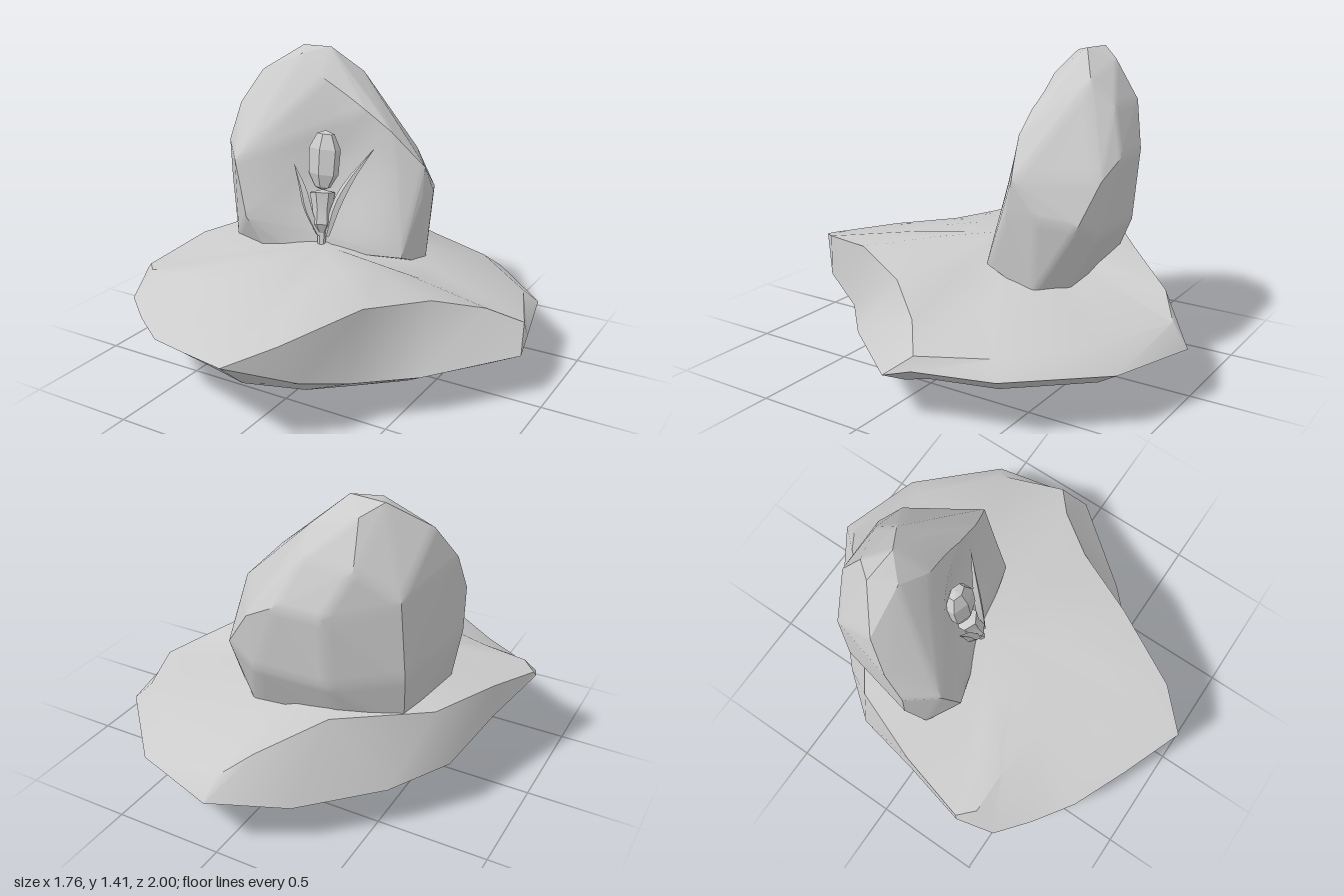
import * as THREE from 'three';
import { toCreasedNormals } from 'three/addons/utils/BufferGeometryUtils.js';
import { ConvexGeometry } from 'three/addons/geometries/ConvexGeometry.js';

const V = (p) => new THREE.Vector3(...p);
const material = new THREE.MeshStandardMaterial({ color: 0xcccccc });
const thin = new THREE.MeshStandardMaterial({ color: 0xcccccc, side: THREE.DoubleSide });

function add(group, name, geometry, mat = material) {
  const mesh = new THREE.Mesh(geometry, mat);
  mesh.name = name;
  group.add(mesh);
  return mesh;
}

// Joins closed rings of equal length, top to bottom
function skin(rings) {
  const n = rings[0].length;
  const index = [];
  for (let r = 0; r < rings.length - 1; r++) {
    for (let i = 0; i < n; i++) {
      const a = r * n + i, b = r * n + (i + 1) % n;
      index.push(a, b, b + n, a, b + n, a + n);
    }
  }
  const geometry = new THREE.BufferGeometry().setFromPoints(rings.flat());
  geometry.setIndex(index);
  return geometry;
}

// Broad lens-shaped slab: sharp rim, chamfered upper edge, shallow dome below
function slabGeometry() {
  const rim = [
    [0.05, 0.235, -1], [0.45, 0.24, -0.87], [0.78, 0.25, -0.52], [0.86, 0.24, -0.17],
    [0.88, 0.2, -0.04], [0.58, 0.19, 0.34], [0.36, 0.2, 0.55], [0.25, 0.28, 0.78],
    [0.03, 0.39, 1], [-0.25, 0.335, 0.885], [-0.5, 0.28, 0.77], [-0.68, 0.29, 0.65],
    [-0.83, 0.31, 0.53], [-0.88, 0.39, 0.36],
    [-0.8, 0.33, 0.04], [-0.73, 0.25, -0.29], [-0.55, 0.2, -0.52], [-0.25, 0.19, -0.81],
  ].map(V);
  const edge = [
    [0.03, 0.33, -0.92], [0.39, 0.325, -0.77], [0.72, 0.315, -0.47], [0.84, 0.3, -0.17],
    [0.7, 0.38, -0.06], [0.53, 0.46, 0.15], [0.37, 0.51, 0.47], [0.19, 0.45, 0.83],
    [0.02, 0.4, 0.97], [-0.17, 0.445, 0.7], [-0.37, 0.46, 0.47], [-0.6, 0.445, 0.42],
    [-0.8, 0.42, 0.42], [-0.87, 0.41, 0.35],
    [-0.79, 0.485, 0.03], [-0.66, 0.505, -0.31], [-0.3, 0.51, -0.58], [-0.09, 0.42, -0.83],
  ].map(V);
  const top = V([-0.1, 0.54, 0]);
  const base = V([-0.05, 0, -0.08]);
  const inner = edge.map((p) => p.clone().lerp(top, 0.5).setY(0.3 + p.y * 0.46));
  const dome = [[0.15, 0.63], [0.38, 0.29], [0.66, 0.07]].map(
    ([t, k]) => rim.map((p) => p.clone().lerp(base, t).setY(p.y * k)));
  const fill = (p) => rim.map(() => p.clone());
  return toCreasedNormals(skin([fill(top), inner, edge, rim, ...dome, fill(base)]), 0.6);
}

// Splits every triangle of a non-indexed geometry into four
function subdivide(geometry) {
  const position = geometry.getAttribute('position');
  const out = [];
  for (let i = 0; i < position.count; i += 3) {
    const [a, b, c] = [0, 1, 2].map((k) => new THREE.Vector3().fromBufferAttribute(position, i + k));
    const [ab, bc, ca] = [[a, b], [b, c], [c, a]].map(([p, q]) => p.clone().add(q).multiplyScalar(0.5));
    out.push(a, ab, ca, ab, b, bc, ca, bc, c, ab, bc, ca);
  }
  return new THREE.BufferGeometry().setFromPoints(out);
}

// Upright faceted boulder with a broad leaning front face, hollowed behind the sprout
function boulderGeometry() {
  const points = [
    // front face
    [-0.22, 1.29, -0.17], [0, 1.16, -0.17], [0.13, 1.07, -0.2], [0.28, 0.91, -0.27],
    [0.28, 0.75, -0.24], [0.24, 0.5, -0.12], [-0.28, 0.5, 0.06], [-0.47, 0.65, 0.12],
    [-0.55, 0.91, 0.08], [-0.4, 0.5, 0.08],
    // crown
    [-0.26, 1.41, -0.33], [-0.42, 1.405, -0.34], [-0.58, 1.29, -0.22], [-0.35, 1.36, -0.43],
    [-0.13, 1.29, -0.42], [-0.36, 1.385, -0.23],
    // left side
    [-0.645, 1.14, -0.12], [-0.66, 0.97, -0.04], [-0.66, 0.77, -0.05], [-0.6, 0.5, 0],
    [-0.55, 1.05, -0.45], [-0.57, 0.7, -0.43], [-0.54, 0.4, -0.36],
    // back and right side
    [-0.38, 1.18, -0.53], [-0.15, 1.18, -0.53], [-0.28, 0.98, -0.6], [-0.06, 0.98, -0.61],
    [0.08, 0.9, -0.59], [0.2, 0.73, -0.55], [0.27, 0.76, -0.39], [-0.28, 0.65, -0.57],
    [0.06, 0.65, -0.58], [-0.3, 0.4, -0.46], [0.13, 0.4, -0.47], [0.25, 0.4, -0.36],
  ].map(V);
  const geometry = subdivide(subdivide(subdivide(new ConvexGeometry(points))));
  const position = geometry.getAttribute('position');
  for (let i = 0; i < position.count; i++) {
    const z = position.getZ(i);
    const dx = (position.getX(i) + 0.13) / 0.24, dy = (position.getY(i) - 0.86) / 0.36;
    const fade = THREE.MathUtils.smoothstep(z, -0.4, -0.12);
    position.setZ(i, z - 0.095 * fade * Math.exp(-dx * dx - dy * dy));
  }
  return toCreasedNormals(geometry, 0.5);
}

function lathe(profile, sides) {
  const points = profile.map(([r, y]) => new THREE.Vector2(r, y));
  return toCreasedNormals(new THREE.LatheGeometry(points, sides), 0.4);
}

// Tapering folded leaf that curls outward to a point
function leafGeometry(path, width) {
  const curve = new THREE.CatmullRomCurve3(path.map(V));
  const steps = 7, points = [], index = [];
  for (let i = 0; i <= steps; i++) {
    const t = i / steps, p = curve.getPoint(t);
    const w = width * Math.sin(Math.PI * (0.15 + 0.85 * t));
    points.push(p.clone().add(V([-w, 0, 0])), p.clone().add(V([0, 0, w * 0.7])), p.clone().add(V([w, 0, 0])));
    if (i < steps) {
      for (const k of [0, 1]) {
        const a = i * 3 + k;
        index.push(a, a + 1, a + 4, a, a + 4, a + 3);
      }
    }
  }
  const geometry = new THREE.BufferGeometry().setFromPoints(points);
  geometry.setIndex(index);
  return toCreasedNormals(geometry, 0.5);
}

export function createModel() {
  const model = new THREE.Group();
  model.name = 'rockWithSprout';
  add(model, 'slab', slabGeometry());
  add(model, 'boulder', boulderGeometry());

  // Small sprout against the front of the boulder
  const sprout = new THREE.Group();
  sprout.name = 'sprout';
  model.add(sprout);
  const stem = add(sprout, 'stem', lathe(
    [[0.018, 0], [0.02, 0.08], [0.05, 0.12], [0.045, 0.19], [0.06, 0.27], [0, 0.285]], 6));
  stem.position.set(-0.125, 0.51, -0.01);
  stem.rotation.set(-0.26, 0, 0.13);
  const bud = add(sprout, 'bud', lathe(
    [[0, 0], [0.04, 0.015], [0.078, 0.08], [0.082, 0.2], [0.045, 0.27], [0, 0.285]], 6));
  bud.scale.z = 0.6;
  bud.position.set(-0.16, 0.78, -0.08);
  bud.rotation.x = -0.12;
  add(sprout, 'leftLeaf', leafGeometry(
    [[-0.1, 0.58, -0.02], [-0.075, 0.72, -0.06], [-0.03, 0.84, -0.11], [0.055, 0.985, -0.19]], 0.025), thin);
  add(sprout, 'rightLeaf', leafGeometry(
    [[-0.14, 0.58, -0.01], [-0.2, 0.7, -0.01], [-0.23, 0.8, -0.015], [-0.28, 0.91, -0.02]], 0.025), thin);
  return model;
}
